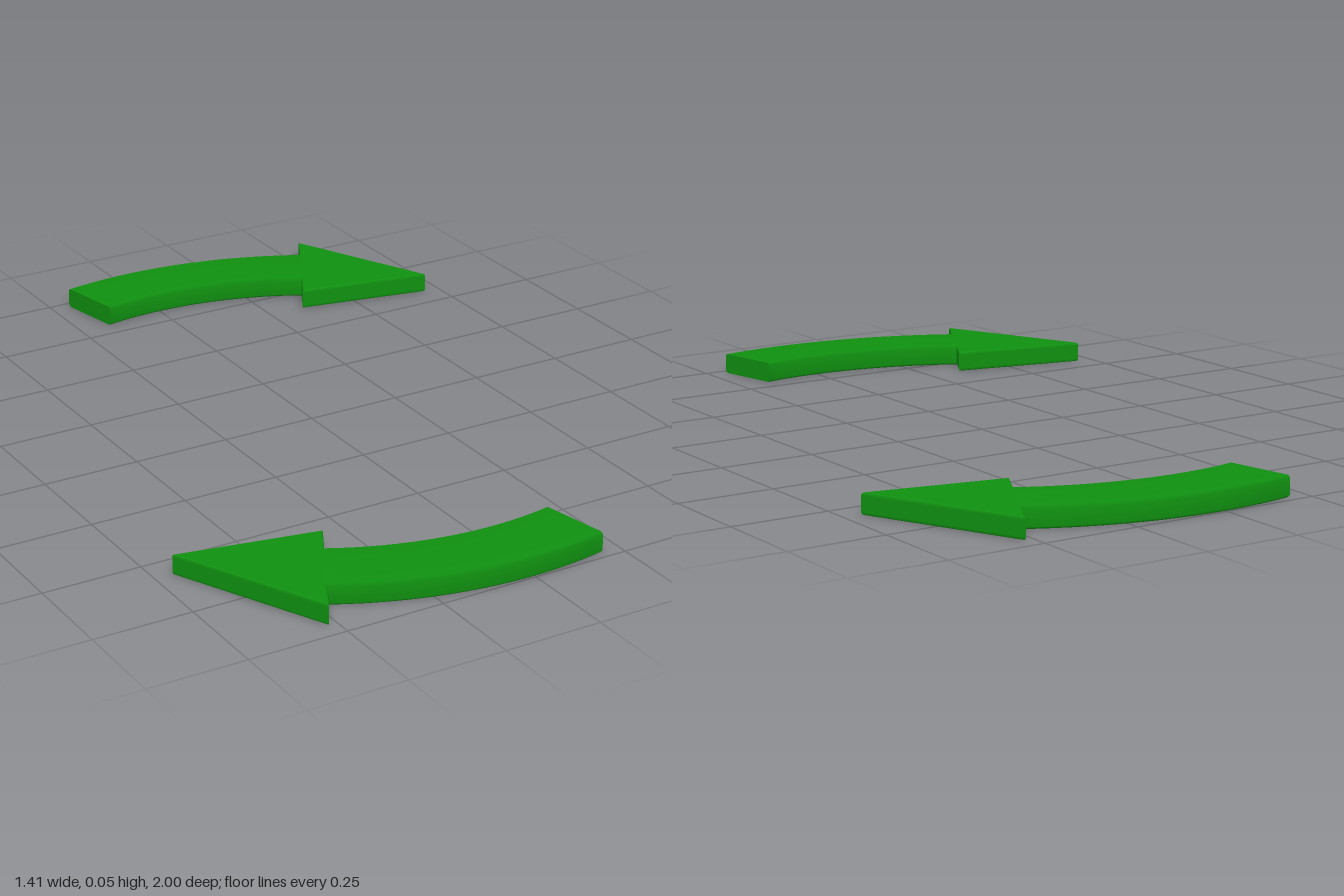
import * as THREE from 'three';

const HEIGHT = 0.053;
const BEVEL = 0.006;
const R_IN = 0.817, R_OUT = 1.0, R_MID = 0.908;
const START = -11.5, NECK = 28.6, TIP = 51; // degrees clockwise from the back
const rad = THREE.MathUtils.degToRad;

// Curved shaft: a chamfered rectangle swept along the arc, with a flat tail
function shaftGeometry() {
  const b = BEVEL, h = HEIGHT;
  const profile = [
    [R_IN + b, 0], [R_OUT - b, 0], [R_OUT, b], [R_OUT, h - b],
    [R_OUT - b, h], [R_IN + b, h], [R_IN, h - b], [R_IN, b],
  ];
  const n = profile.length, steps = 24;
  const pos = [], index = [];
  const ring = (deg) => {
    const a = rad(deg);
    for (const [r, y] of profile) pos.push(r * Math.sin(a), y, -r * Math.cos(a));
  };
  for (let s = 0; s <= steps; s++) ring(START + (NECK + 0.4 - START) * s / steps);
  for (let s = 0; s < steps; s++) {
    for (let i = 0; i < n; i++) {
      const p = s * n + i, q = s * n + (i + 1) % n;
      index.push(p, q, q + n, p, q + n, p + n);
    }
  }
  // tail cap on its own vertices so its edge stays crisp
  const c = pos.length / 3;
  ring(START);
  for (let i = 1; i < n - 1; i++) index.push(c, c + i + 1, c + i);
  const g = new THREE.BufferGeometry();
  g.setAttribute('position', new THREE.Float32BufferAttribute(pos, 3));
  g.setIndex(index);
  g.computeVertexNormals();
  return g;
}

// Arrowhead: bevelled triangle with a radial base and its tip on the mid radius
function headGeometry() {
  const polar = (r, deg) => new THREE.Vector2(r * Math.sin(rad(deg)), r * Math.cos(rad(deg)));
  const shape = new THREE.Shape([polar(0.728, NECK), polar(R_MID, TIP), polar(1.093, NECK)]);
  const g = new THREE.ExtrudeGeometry(shape, {
    depth: HEIGHT - 2 * BEVEL,
    bevelEnabled: true,
    bevelThickness: BEVEL,
    bevelSize: BEVEL,
    bevelOffset: -BEVEL,
    bevelSegments: 2,
  });
  g.rotateX(-Math.PI / 2);
  g.translate(0, BEVEL, 0);
  return g;
}

export function createModel() {
  const model = new THREE.Group();
  model.name = 'rotationArrows';
  const green = new THREE.MeshStandardMaterial({ color: 0x109010 });
  const shaft = shaftGeometry(), head = headGeometry();

  // two identical arrows, half a turn apart
  ['backArrow', 'frontArrow'].forEach((name, i) => {
    const arrow = new THREE.Group();
    arrow.name = name;
    for (const [part, geometry] of [['arrowShaft', shaft], ['arrowHead', head]]) {
      const mesh = new THREE.Mesh(geometry, green);
      mesh.name = part;
      arrow.add(mesh);
    }
    arrow.rotation.y = i * Math.PI;
    model.add(arrow);
  });
  return model;
}
